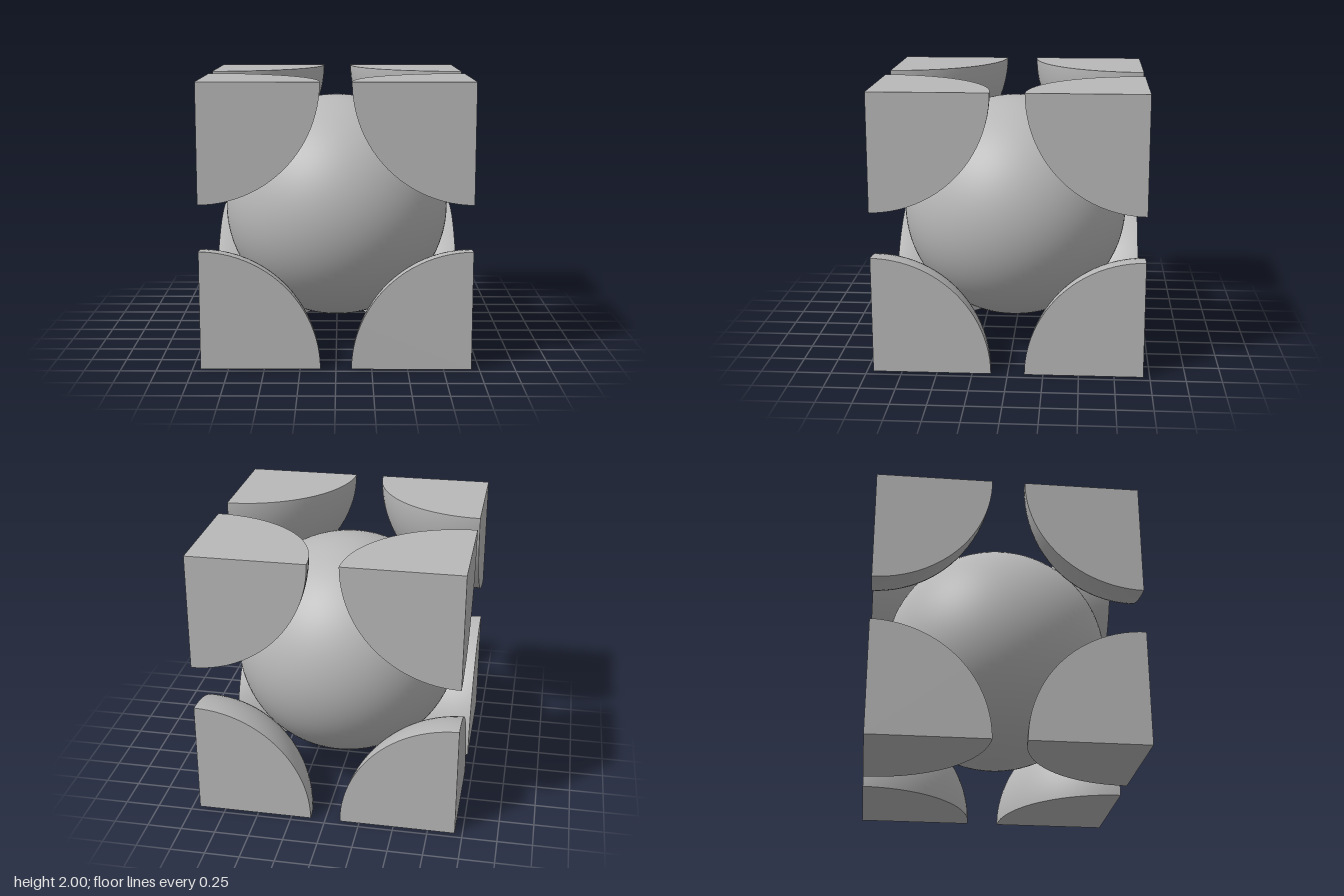
import * as THREE from 'three';
import { mergeGeometries } from 'three/addons/utils/BufferGeometryUtils.js';

const RADIUS = 0.837;
const HALF = new THREE.Vector3(0.945, 1, 0.955); // half size of the cell

// One eighth of a ball filling the +x +y +z octant, closed by three quarter discs
function octantGeometry() {
  const shell = new THREE.SphereGeometry(RADIUS, 24, 24, Math.PI / 2, Math.PI / 2, 0, Math.PI / 2);
  const parts = [shell];
  const diagonal = new THREE.Vector3(1, 1, 1).normalize();
  for (let i = 0; i < 3; i++) {
    const disc = new THREE.CircleGeometry(RADIUS, 24, Math.PI / 2, Math.PI / 2);
    disc.rotateY(Math.PI);
    disc.applyMatrix4(new THREE.Matrix4().makeRotationAxis(diagonal, (i * 2 * Math.PI) / 3));
    parts.push(disc);
  }
  return mergeGeometries(parts);
}

export function createModel() {
  const group = new THREE.Group();
  group.name = 'bodyCentredCell';
  const grey = new THREE.MeshStandardMaterial({ color: 0xb8b8b8 });
  grey.name = 'grey';

  // Whole ball in the middle
  const ball = new THREE.Mesh(new THREE.SphereGeometry(RADIUS, 96, 48), grey);
  ball.name = 'centreBall';
  ball.position.y = HALF.y;
  group.add(ball);

  // Eight corner pieces, each turned to face the middle
  const octant = octantGeometry();
  for (const flip of [0, Math.PI]) {
    for (let turn = 0; turn < 4; turn++) {
      const piece = new THREE.Mesh(octant, grey);
      piece.name = (flip ? 'upper' : 'lower') + 'CornerPiece' + (turn + 1);
      piece.rotation.set(flip, (turn * Math.PI) / 2, 0);
      const inward = new THREE.Vector3(1, 1, 1).applyEuler(piece.rotation).round();
      piece.position.copy(inward).multiply(HALF).negate();
      piece.position.y += HALF.y;
      group.add(piece);
    }
  }
  return group;
}
